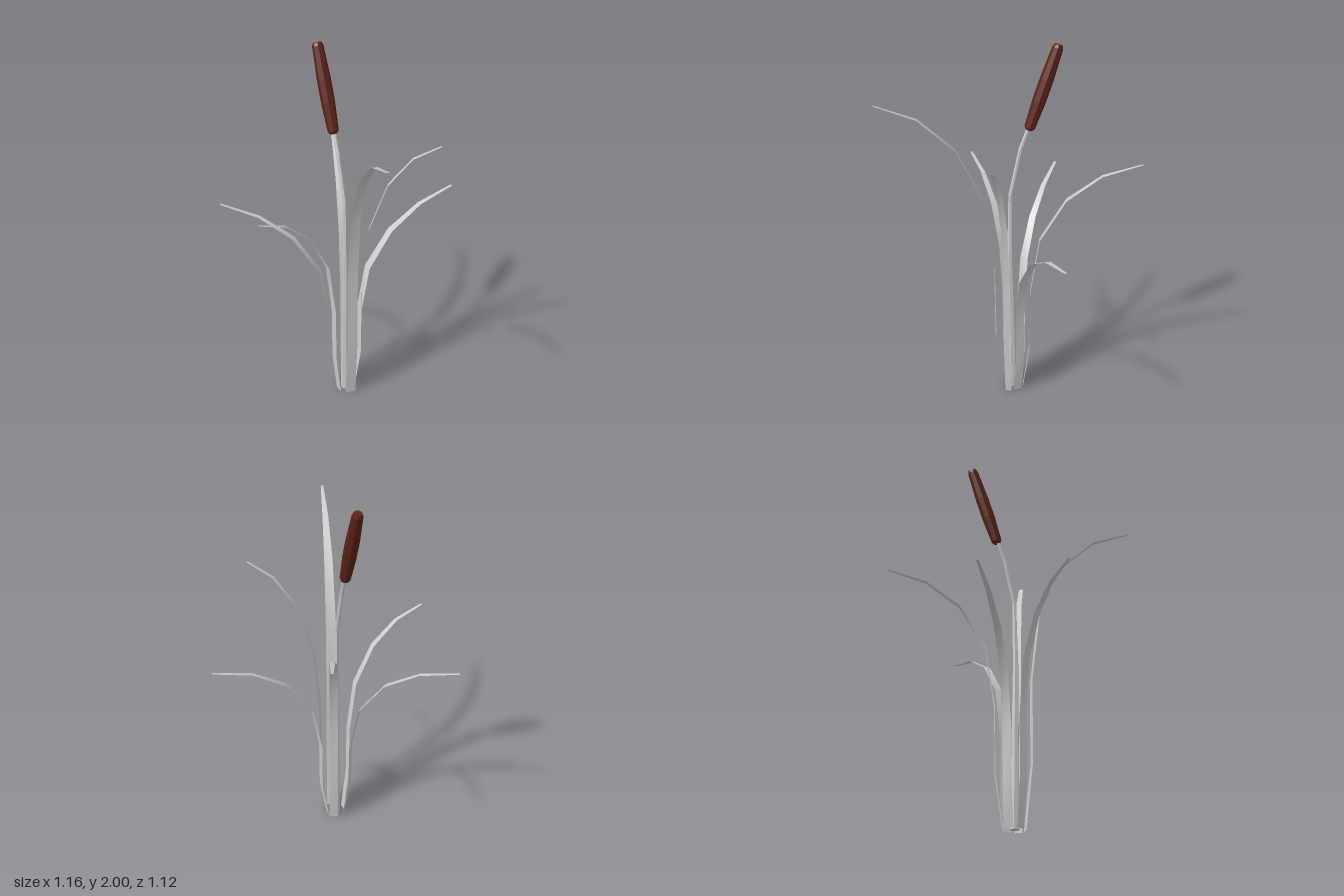
import * as THREE from 'three';

const leafMat = new THREE.MeshStandardMaterial({ color: 0xcccccc, side: THREE.DoubleSide });
leafMat.name = 'leaf grey';
const headMat = new THREE.MeshStandardMaterial({ color: 0x5c2318 });
headMat.name = 'seed head brown';

// Shared leaf profile: [share of outward reach, share of height]
const PROFILE = [[0, 0], [0.062, 0.2], [0.066, 0.45], [0.145, 0.685], [0.37, 0.855], [0.665, 0.953], [1, 1]];

// Flat ribbon that rises, bends outward and narrows to its tip
function leafGeometry([bx, bz], [tx, tz], height, width) {
  const geo = new THREE.PlaneGeometry(1, 1, 1, PROFILE.length - 1);
  const pos = geo.attributes.position;
  const dir = new THREE.Vector2(tx - bx, tz - bz).normalize();
  PROFILE.forEach(([out, up], i) => {
    const half = THREE.MathUtils.lerp(width, 0.014, out ** 1.2) / 2;
    const x = THREE.MathUtils.lerp(bx, tx, out);
    const z = THREE.MathUtils.lerp(bz, tz, out);
    for (const side of [0, 1]) {
      const s = (side ? 1 : -1) * half;
      pos.setXYZ(i * 2 + side, x - dir.y * s, up * height, z + dir.x * s);
    }
  });
  geo.computeVertexNormals();
  return geo;
}

// Gives every face its own flat normal
function faceted(geo) {
  const flat = geo.toNonIndexed();
  flat.computeVertexNormals();
  return flat;
}

// Tapered stalk: each ring of a cylinder is moved onto the path
function stemGeometry(path, r0, r1) {
  const n = path.length - 1;
  const geo = new THREE.CylinderGeometry(1, 1, 1, 6, n);
  const pos = geo.attributes.position;
  for (let i = 0; i < pos.count; i++) {
    const k = Math.round((pos.getY(i) + 0.5) * n);
    const r = THREE.MathUtils.lerp(r0, r1, Math.min(1, k / 3));
    const [x, y, z] = path[k];
    pos.setXYZ(i, x + pos.getX(i) * r, y, z + pos.getZ(i) * r);
  }
  return faceted(geo);
}

export function createModel() {
  const model = new THREE.Group();
  model.name = 'reedPlant';
  const add = (name, geo, mat) => {
    const mesh = new THREE.Mesh(geo, mat);
    mesh.name = name;
    model.add(mesh);
    return mesh;
  };

  // Six leaves around the stem: base [x, z], tip [x, z], height, base width
  [
    ['leafBack', [0.043, 0.02], [0.274, -0.56], 1.123, 0.051],
    ['leafBackLeft', [0.09, 0.045], [0.434, -0.18], 1.563, 0.037],
    ['leafFrontLeft', [0.084, 0.093], [0.575, 0.473], 1.748, 0.058],
    ['leafFront', [0.02, 0.117], [-0.12, 0.558], 1.262, 0.041],
    ['leafFrontRight', [-0.024, 0.08], [-0.58, 0.355], 1.123, 0.046],
    ['leafBackRight', [-0.004, 0.025], [-0.446, -0.404], 1.4, 0.048],
  ].forEach(([name, base, tip, h, w]) => add(name, leafGeometry(base, tip, h, w), leafMat));

  // Stem
  add('stem', stemGeometry([
    [0.03, 0, 0.073], [0.034, 0.4, 0.075], [0.038, 0.85, 0.079],
    [0.034, 1.22, 0.077], [-0.022, 1.47, 0.058], [-0.068, 1.6, 0.037],
  ], 0.025, 0.0105), leafMat);

  // Leaning seed head with chamfered ends
  const bottom = new THREE.Vector3(-0.063, 1.568, 0.04);
  const axis = new THREE.Vector3(-0.209, 1.994, -0.02).sub(bottom);
  const len = axis.length();
  const profile = [[0, 0], [0.018, 0], [0.028, 0.03], [0.035, 0.35], [0.035, 0.6], [0.028, 0.965], [0.021, 1], [0, 1]]
    .map(([r, t]) => new THREE.Vector2(r, t * len));
  const head = add('seedHead', faceted(new THREE.LatheGeometry(profile, 8)), headMat);
  head.position.copy(bottom);
  head.quaternion.setFromUnitVectors(new THREE.Vector3(0, 1, 0), axis.normalize());

  return model;
}
